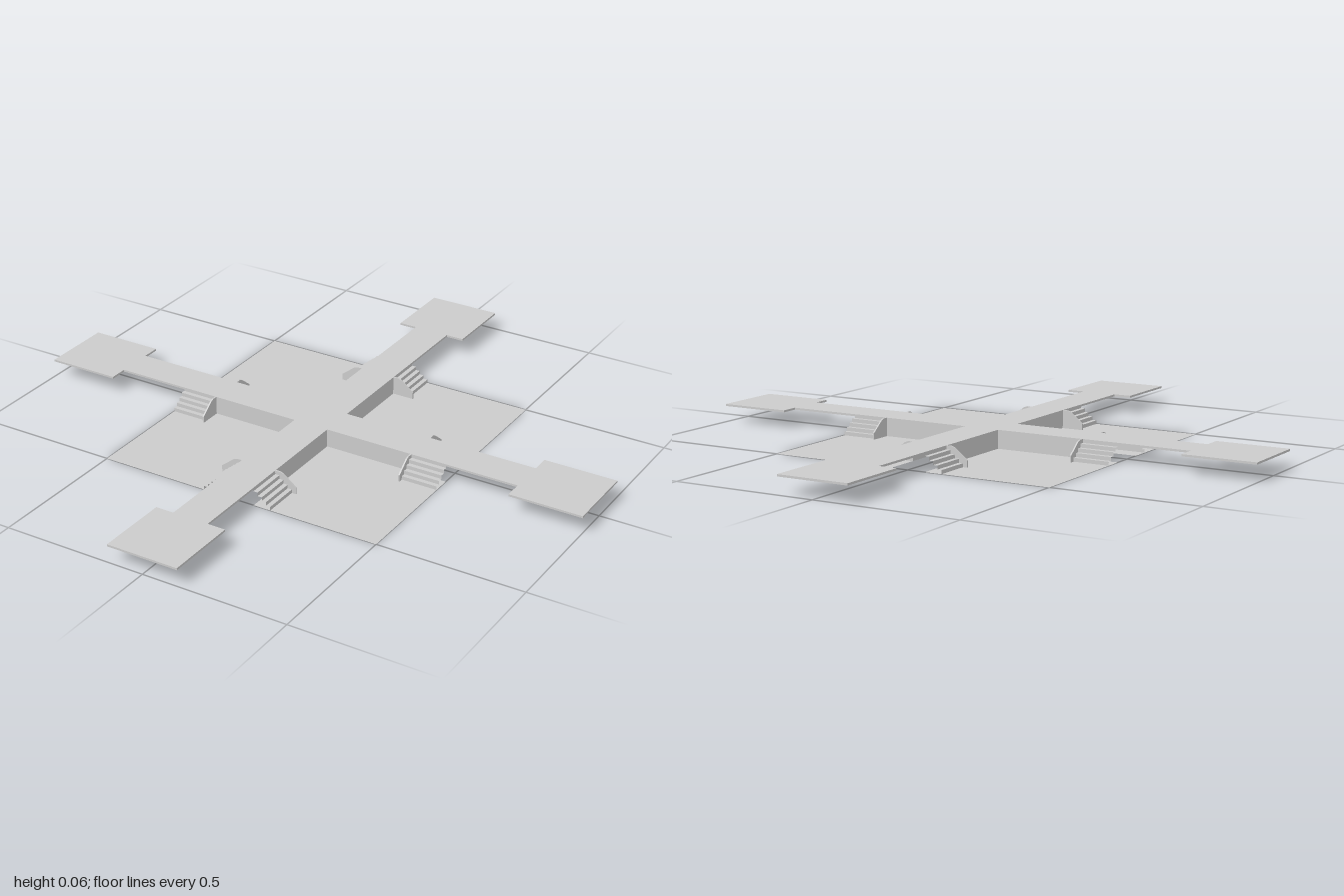
import * as THREE from 'three';

const HALF = 0.0625;      // half width of a walkway
const TOP = 0.0625;       // walkway height
const THICK = 0.007;      // walkway slab thickness
const STAIR = 0.372;      // where the wall ends and the stairs begin
const EDGE = 0.5;         // outer edge of the floors

const material = new THREE.MeshStandardMaterial({ color: 0xcccccc, flatShading: true, side: THREE.DoubleSide });

function add(parent, name, geometry, x = 0, y = 0, z = 0) {
  const mesh = new THREE.Mesh(geometry, material);
  mesh.name = name;
  mesh.position.set(x, y, z);
  parent.add(mesh);
  return mesh;
}

const extrude = (points, depth) => new THREE.ExtrudeGeometry(
  new THREE.Shape(points.map(([x, y]) => new THREE.Vector2(x, y))), { depth, bevelEnabled: false });

// Open zigzag of treads and risers, swept along z
function stairGeometry(side) {
  const steps = 4, run = 0.0152, rise = TOP / (steps + 1);
  const profile = [[HALF, TOP]];
  for (let i = 0; i < steps; i++) {
    const y = TOP - (i + 1) * rise;
    profile.push([HALF + i * run, y], [HALF + (i + 1) * run, y]);
  }
  profile.push([HALF + steps * run, 0]);
  const position = [], index = [];
  profile.forEach(([x, y], i) => {
    position.push(side * x, y, STAIR, side * x, y, EDGE);
    if (i === 0) return;
    const a = 2 * i - 2;
    if (side > 0) index.push(a, a + 1, a + 3, a, a + 3, a + 2);
    else index.push(a, a + 3, a + 1, a, a + 2, a + 3);
  });
  const geometry = new THREE.BufferGeometry();
  geometry.setAttribute('position', new THREE.Float32BufferAttribute(position, 3));
  geometry.setIndex(index);
  const flat = geometry.toNonIndexed();
  flat.computeVertexNormals();
  return flat;
}

export function createModel() {
  const model = new THREE.Group();
  model.name = 'crossWalkway';

  // Raised cross with a square landing at the end of each arm
  const outline = [];
  for (let k = 0; k < 4; k++) {
    const c = Math.round(Math.cos(k * Math.PI / 2)), s = Math.round(Math.sin(k * Math.PI / 2));
    for (const [x, y] of [[HALF, -HALF], [0.75, -HALF], [0.75, -0.125], [1, -0.125],
      [1, 0.125], [0.75, 0.125], [0.75, HALF]]) {
      outline.push([x * c - y * s, x * s + y * c]);
    }
  }
  const deck = extrude(outline, THICK);
  deck.rotateX(-Math.PI / 2);
  add(model, 'walkway', deck, 0, TOP - THICK, 0);

  // Four sunken floors between the arms
  const size = EDGE - HALF, mid = (EDGE + HALF) / 2;
  for (const x of [-mid, mid]) for (const z of [-mid, mid]) {
    const floor = new THREE.PlaneGeometry(size, size);
    floor.rotateX(-Math.PI / 2);
    add(model, 'floor', floor, x, 0, z);
  }

  // Each arm carries a wall, stairs and a stair cheek on both sides
  for (let k = 0; k < 4; k++) {
    const arm = new THREE.Group();
    arm.name = 'arm';
    arm.rotation.y = k * Math.PI / 2;
    for (const side of [-1, 1]) {
      const wall = new THREE.PlaneGeometry(STAIR - HALF, TOP);
      wall.rotateY(side * Math.PI / 2);
      add(arm, 'wall', wall, side * HALF, TOP / 2, (STAIR + HALF) / 2);

      add(arm, 'stairs', stairGeometry(side));

      const cheek = [[HALF, 0], [0.138, 0], [0.138, 0.022], [0.092, 0.058], [0.08, TOP], [HALF, TOP]];
      add(arm, 'stairCheek', extrude(cheek.map(([x, y]) => [side * x, y]), 0.005), 0, 0, STAIR - 0.002);
    }
    model.add(arm);
  }
  return model;
}
